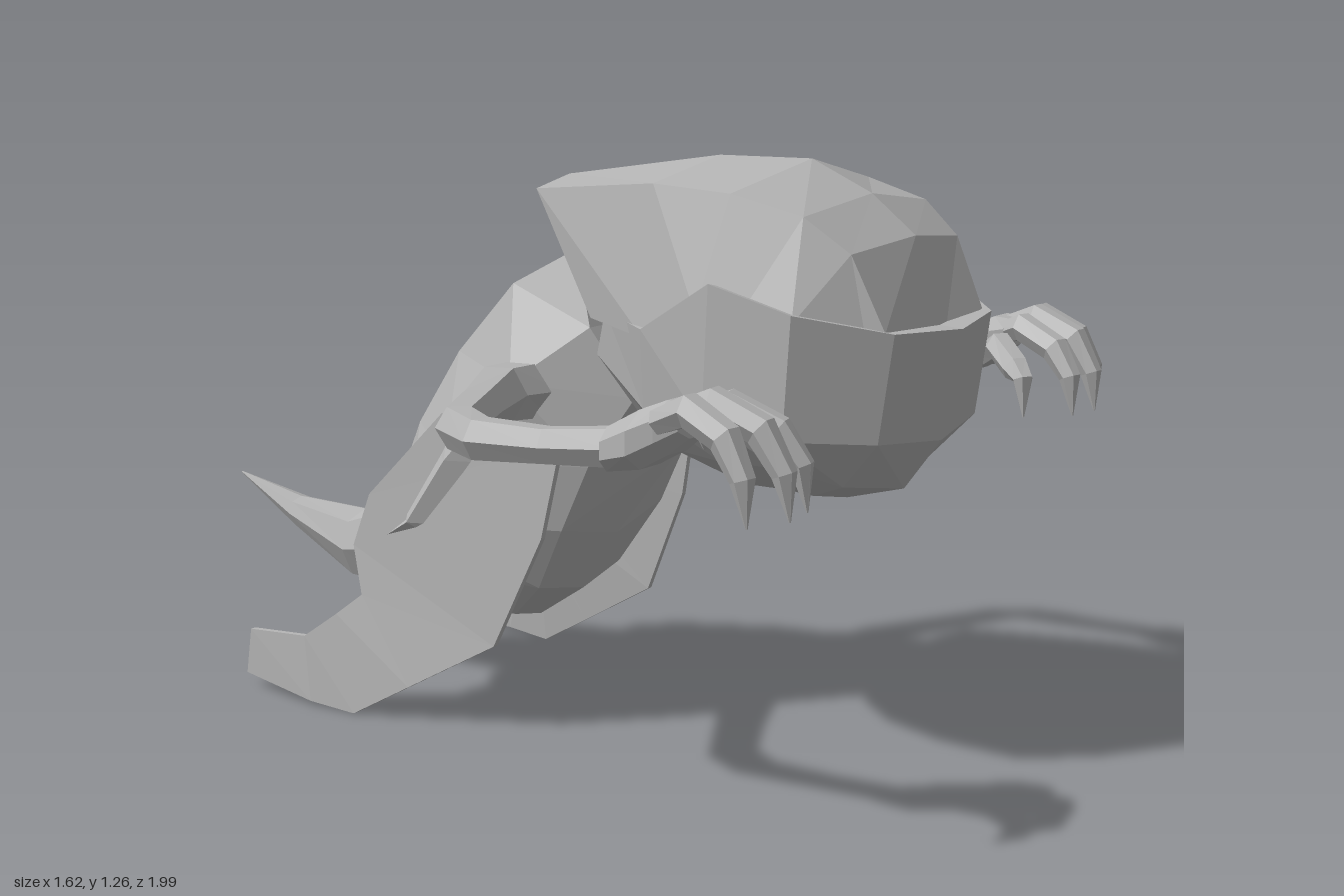
import * as THREE from 'three';

const skin = new THREE.MeshStandardMaterial({ color: 0xb4b4b4, flatShading: true, side: THREE.DoubleSide });
skin.name = 'grey skin';

// Closed solid through equal-length rings of [x, y, z], capped at both ends and wound outwards
function loft(name, rings) {
  const tris = [];
  const n = rings[0].length;
  for (let i = 0; i < rings.length - 1; i++) {
    for (let j = 0; j < n; j++) {
      const k = (j + 1) % n;
      const a = rings[i][j], b = rings[i][k], c = rings[i + 1][k], d = rings[i + 1][j];
      tris.push([a, b, c], [a, c, d]);
    }
  }
  const cap = (ring, flip) => {
    const mid = [0, 1, 2].map((q) => ring.reduce((s, p) => s + p[q], 0) / n);
    ring.forEach((p, j) => {
      const r = ring[(j + 1) % n];
      tris.push(flip ? [mid, r, p] : [mid, p, r]);
    });
  };
  cap(rings[0], true);
  cap(rings[rings.length - 1], false);
  let volume = 0;
  for (const [a, b, c] of tris) {
    volume += new THREE.Vector3(...a).dot(new THREE.Vector3(...b).cross(new THREE.Vector3(...c)));
  }
  if (volume < 0) tris.forEach((t) => t.reverse());
  const geo = new THREE.BufferGeometry();
  geo.setAttribute('position', new THREE.Float32BufferAttribute(tris.flat(2), 3));
  geo.computeVertexNormals();
  const mesh = new THREE.Mesh(geo, skin);
  mesh.name = name;
  return mesh;
}

// Completes a half ring (first and last points on the centre line)
const mirrorRing = (half) => [
  ...half,
  ...half.slice(1, -1).reverse().map(([x, y, z]) => [-x, y, z]),
];

// Tapered six-sided limb through [x, y, z, radius] stations
function limb(name, stations, side) {
  const pts = stations.map(([x, y, z]) => new THREE.Vector3(x * side, y, z));
  const rings = pts.map((p, i) => {
    const dir = pts[Math.min(i + 1, pts.length - 1)].clone().sub(pts[Math.max(i - 1, 0)]).normalize();
    const up = new THREE.Vector3(0, 1, 0).addScaledVector(dir, -dir.y).normalize();
    const across = new THREE.Vector3().crossVectors(up, dir);
    const r = stations[i][3];
    return Array.from({ length: 6 }, (_, k) => {
      const t = (k / 6) * Math.PI * 2;
      return p.clone().addScaledVector(across, Math.cos(t) * r).addScaledVector(up, Math.sin(t) * r).toArray();
    });
  });
  return loft(name, rings);
}

export function createModel() {
  const model = new THREE.Group();
  model.name = 'creature';

  // Hood: centre ridge, top corner, lower side, underside
  model.add(loft('hood', [
    [[0, 0.91, 0.95], [0.22, 0.95, 0.93], [0.24, 0.93, 0.9], [0, 0.9, 0.9]],
    [[0, 1.12, 0.88], [0.235, 1.1, 0.86], [0.34, 0.97, 0.79], [0, 0.9, 0.79]],
    [[0, 1.2, 0.78], [0.265, 1.17, 0.77], [0.35, 0.98, 0.68], [0, 0.9, 0.68]],
    [[0, 1.265, 0.64], [0.29, 1.21, 0.62], [0.355, 0.98, 0.58], [0, 0.9, 0.6]],
    [[0, 1.265, 0.42], [0.26, 1.22, 0.42], [0.31, 0.91, 0.43], [0, 0.9, 0.43]],
    [[0, 1.21, 0.03], [0.18, 1.19, 0.07], [0.235, 0.93, 0.25], [0, 0.93, 0.22]],
  ].map(mirrorRing)));

  // Jaw: stacked bowl-like rings from rim to chin
  model.add(loft('jaw', [
    [[0, 0.94, 0.99], [0.22, 0.95, 0.95], [0.36, 0.99, 0.8], [0.37, 1.04, 0.62],
      [0.32, 0.93, 0.43], [0.24, 0.95, 0.29], [0, 0.95, 0.27]],
    [[0, 0.71, 0.95], [0.22, 0.73, 0.92], [0.35, 0.74, 0.78], [0.355, 0.76, 0.6],
      [0.29, 0.76, 0.42], [0.21, 0.85, 0.25], [0, 0.8, 0.26]],
    [[0, 0.6, 0.87], [0.19, 0.63, 0.83], [0.27, 0.67, 0.74], [0.28, 0.67, 0.6],
      [0.22, 0.67, 0.45], [0.14, 0.7, 0.33], [0, 0.68, 0.33]],
    [[0, 0.565, 0.74], [0.11, 0.585, 0.72], [0.15, 0.6, 0.68], [0.15, 0.6, 0.6],
      [0.12, 0.6, 0.54], [0.06, 0.595, 0.5], [0, 0.585, 0.5]],
  ].map(mirrorRing)));

  // Body: back centre, back corner, flank, belly corner, belly centre
  model.add(loft('body', [
    [[0, 1.08, 0.14], [0.13, 1.06, 0.14], [0.18, 0.9, 0.21], [0.14, 0.75, 0.3], [0, 0.73, 0.31]],
    [[0, 1.01, 0], [0.17, 0.98, 0], [0.28, 0.78, 0.07], [0.2, 0.6, 0.22], [0, 0.56, 0.24]],
    [[0, 0.84, -0.14], [0.185, 0.82, -0.14], [0.32, 0.6, -0.08], [0.2, 0.45, 0.15], [0, 0.41, 0.16]],
    [[0, 0.67, -0.25], [0.19, 0.65, -0.25], [0.33, 0.45, -0.18], [0.16, 0.3, 0.06], [0, 0.27, 0.07]],
    [[0, 0.525, -0.365], [0.14, 0.5, -0.35], [0.32, 0.37, -0.31], [0.1, 0.21, -0.05], [0, 0.19, -0.05]],
    [[0, 0.4, -0.38], [0.1, 0.36, -0.37], [0.16, 0.28, -0.34], [0.09, 0.2, -0.3], [0, 0.2, -0.32]],
  ].map(mirrorRing)));

  // Tail: [z, top, bottom, half width]
  model.add(loft('tail', [
    [-0.33, 0.49, 0.21, 0.14], [-0.45, 0.42, 0.195, 0.12], [-0.58, 0.37, 0.2, 0.09],
    [-0.79, 0.375, 0.3, 0.045], [-0.99, 0.415, 0.411, 0.002],
  ].map(([z, top, bottom, w]) => {
    const h = top - bottom;
    return mirrorRing([[0, top, z], [w * 0.75, top - h * 0.12, z], [w, top - h * 0.5, z],
      [w * 0.6, bottom + h * 0.1, z], [0, bottom, z]]);
  })));

  for (const side of [1, -1]) {
    const label = side > 0 ? 'left' : 'right';

    // Flat leg: front edge and back edge, with a thin inner face
    model.add(loft(label + 'Leg', [
      [[0.275, 0.66, 0.2], [0.3, 0.7, -0.1]],
      [[0.29, 0.45, 0.16], [0.325, 0.5, -0.29]],
      [[0.315, 0.2, 0.05], [0.335, 0.38, -0.33]],
      [[0.355, 0.08, -0.16], [0.345, 0.27, -0.3]],
      [[0.38, 0, -0.3], [0.365, 0.22, -0.36]],
      [[0.39, 0.01, -0.42], [0.385, 0.16, -0.44]],
      [[0.355, 0.03, -0.65], [0.36, 0.14, -0.63]],
    ].map(([f, b]) => [f, b, [b[0] - 0.015, b[1], b[2]], [f[0] - 0.015, f[1], f[2]]]
      .map(([x, y, z]) => [x * side, y, z]))));

    // Arm bent forward at the elbow
    model.add(limb(label + 'Arm', [
      [0.2, 0.76, 0.08, 0.07], [0.33, 0.765, 0.08, 0.065], [0.52, 0.765, 0.17, 0.05],
      [0.69, 0.765, 0.255, 0.048], [0.735, 0.76, 0.34, 0.045],
      [0.735, 0.765, 0.5, 0.038], [0.73, 0.78, 0.67, 0.042],
    ], side));

    // Palm: [centre x, centre y, z, half width, half height]
    model.add(loft(label + 'Palm', [
      [0.73, 0.775, 0.64, 0.045, 0.045], [0.71, 0.8, 0.71, 0.09, 0.06],
      [0.695, 0.825, 0.76, 0.09, 0.055], [0.69, 0.84, 0.8, 0.075, 0.035],
    ].map(([cx, cy, z, w, h]) => Array.from({ length: 8 }, (_, k) => {
      const t = ((k + 0.5) / 8) * Math.PI * 2;
      return [(cx + Math.cos(t) * w) * side, cy + Math.sin(t) * h, z];
    }))));

    // Curled clawed fingers: [base x, tip x, height, tip z]
    [[0.76, 0.785, 0.88, 0.96], [0.715, 0.695, 0.885, 0.995],
      [0.665, 0.605, 0.87, 0.98], [0.625, 0.52, 0.83, 0.9]].forEach(([bx, tx, y, tz], i) => {
      const at = (t) => bx + (tx - bx) * t;
      const zAt = (t) => 0.76 + (tz - 0.76) * t;
      model.add(limb(label + 'Finger' + (i + 1), [
        [at(0), y - 0.04, zAt(0), 0.026], [at(0.4), y - 0.01, zAt(0.35), 0.034],
        [at(0.75), y - 0.05, zAt(0.75), 0.032], [at(0.95), 0.76, zAt(0.95), 0.024],
        [at(1), 0.675, tz, 0.002],
      ], side));
    });
  }
  return model;
}
